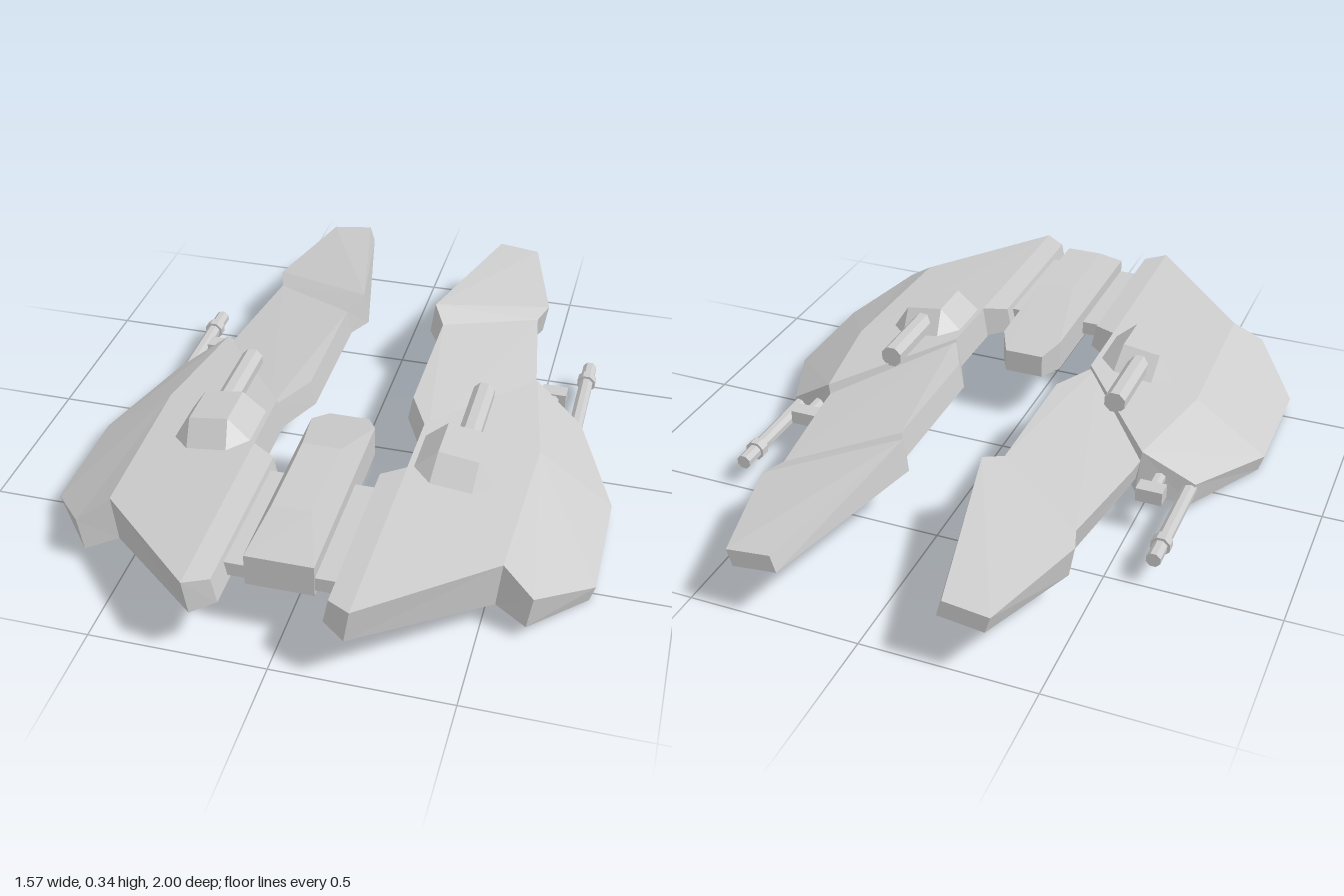
import * as THREE from 'three';
import { ConvexGeometry } from 'three/addons/geometries/ConvexGeometry.js';

const material = new THREE.MeshStandardMaterial({ color: 0xcccccc, flatShading: true });
const LEAN = 0.015; // undersides sit slightly inboard of the top edges

// Slab from rows of [x, z, top y, bottom y]; the first `rim` rows form the outline,
// and panels list the rows that bound each flat facet of the top and underside.
function slab(rows, rim, panels) {
  const top = rows.map(([x, z, t]) => [x, t, z]);
  const low = rows.map(([x, z, , b]) => [x - LEAN, b, z]);
  const out = [];
  const tri = (a, b, c) => out.push(...a, ...b, ...c);
  for (const p of panels) {
    for (let i = 1; i < p.length - 1; i++) {
      tri(top[p[0]], top[p[i + 1]], top[p[i]]);
      tri(low[p[0]], low[p[i]], low[p[i + 1]]);
    }
  }
  for (let i = 0; i < rim; i++) {
    const j = (i + 1) % rim;
    tri(top[i], top[j], low[j]);
    tri(top[i], low[j], low[i]);
  }
  const geo = new THREE.BufferGeometry();
  geo.setAttribute('position', new THREE.Float32BufferAttribute(out, 3));
  geo.computeVertexNormals();
  return geo;
}

// Copy reflected in x, with corner order restored
function mirrored(source) {
  const geo = source.index ? source.toNonIndexed() : source.clone();
  const pos = geo.attributes.position;
  const v = [0, 1, 2].map(() => new THREE.Vector3());
  for (let i = 0; i < pos.count; i += 3) {
    v.forEach((p, k) => p.fromBufferAttribute(pos, i + k));
    [v[0], v[2], v[1]].forEach((p, k) => pos.setXYZ(i + k, -p.x, p.y, p.z));
  }
  geo.computeVertexNormals();
  return geo;
}

const hull = (points) => new ConvexGeometry(points.map((p) => new THREE.Vector3(...p)));

// Eight-sided rod along z
function rod(x, y, z0, z1, r) {
  const geo = new THREE.CylinderGeometry(r, r, Math.abs(z1 - z0), 8);
  geo.rotateY(Math.PI / 8).rotateX(Math.PI / 2).translate(x, y, (z0 + z1) / 2);
  return geo;
}

function box(x0, x1, y0, y1, z0, z1) {
  return new THREE.BoxGeometry(x1 - x0, y1 - y0, z1 - z0)
    .translate((x0 + x1) / 2, (y0 + y1) / 2, (z0 + z1) / 2);
}

// Turret dome: octagonal foot, square roof, tilted with the wing
function turretDome() {
  const cx = 0.355, cz = 0.305, pts = [];
  const add = (dx, dz, y) => pts.push([cx + dx + (y - 0.22) * 0.13, y - dx * 0.14, cz + dz]);
  for (const sx of [-1, 1]) for (const sz of [-1, 1]) {
    for (const y of [0.19, 0.228]) {
      add(sx * 0.117, sz * 0.075, y);
      add(sx * 0.06, sz * 0.13, y);
    }
    add(sx * 0.058, sz * 0.07, 0.298);
  }
  return hull(pts);
}

export function createModel() {
  const model = new THREE.Group();
  const add = (parent, name, geo) => {
    const mesh = new THREE.Mesh(geo, material);
    mesh.name = name;
    parent.add(mesh);
  };

  const parts = {
    // Broad drooping front plate
    wing: slab([
      [0.22, 1.0, 0.248, 0.15], [0.155, 0.96, 0.24, 0.165], [0.155, 0.43, 0.24, 0.165],
      [0.225, 0.39, 0.248, 0.15], [0.225, 0.17, 0.248, 0.15], [0.5, -0.18, 0.212, 0.07],
      [0.65, -0.13, 0.105, 0.03], [0.785, 0.17, 0.05, 0], [0.785, 0.53, 0.05, 0],
      [0.64, 0.72, 0.14, 0.04], [0.55, 0.68, 0.205, 0.065], [0.565, 0.17, 0.205, 0.055],
    ], 11, [[0, 1, 2, 3], [0, 3, 4, 5, 11, 10], [5, 6, 7, 11], [11, 7, 8, 9, 10]]),
    // Long rear prong, stepped down from the plate
    rearProng: slab([
      [0.24, 0.2, 0.235, 0.15], [0.16, 0.04, 0.238, 0.16], [0.16, -0.38, 0.238, 0.16],
      [0.12, -0.45, 0.268, 0.165], [0.24, -1, 0.215, 0.165], [0.37, -1, 0.2, 0.15],
      [0.465, -0.65, 0.193, 0.1], [0.44, -0.57, 0.187, 0.105], [0.49, -0.24, 0.18, 0.11],
      [0.5, -0.14, 0.18, 0.11],
    ], 10, [[0, 1, 2, 7, 8, 9], [2, 3, 7], [3, 4, 5, 6, 7]]),
    turretDome: turretDome(),
    turretBarrel: rod(0.363, 0.253, 0.28, 0.025 - 0.045, 0.034),
    // Guns on the trailing edge
    longGunBarrel: rod(0.632, 0.083, -0.05, -0.485, 0.022),
    longGunCollar: rod(0.632, 0.083, -0.39, -0.42, 0.03),
    shortGunStem: rod(0.548, 0.122, -0.1, -0.25, 0.02),
    shortGunHead: box(0.51, 0.588, 0.103, 0.145, -0.265, -0.215),
    strut: box(0.08, 0.165, 0.18, 0.222, 0.47, 0.87),
  };
  for (const s of [1, -1]) {
    const side = new THREE.Group();
    side.name = s > 0 ? 'leftHalf' : 'rightHalf';
    for (const [name, geo] of Object.entries(parts)) add(side, name, s > 0 ? geo : mirrored(geo));
    model.add(side);
  }

  // Central body with a raised canopy ridge and sloping tail
  const body = [];
  for (const s of [-1, 1]) {
    body.push(
      [s * 0.095, 0.165, 0.875], [s * 0.095, 0.26, 0.875], [s * 0.055, 0.337, 0.75],
      [s * 0.055, 0.337, 0.47], [s * 0.095, 0.26, 0.25], [s * 0.095, 0.165, 0.25],
      [s * 0.06, 0.236, 0.18], [s * 0.06, 0.165, 0.18],
    );
  }
  add(model, 'centralBody', hull(body));
  return model;
}
